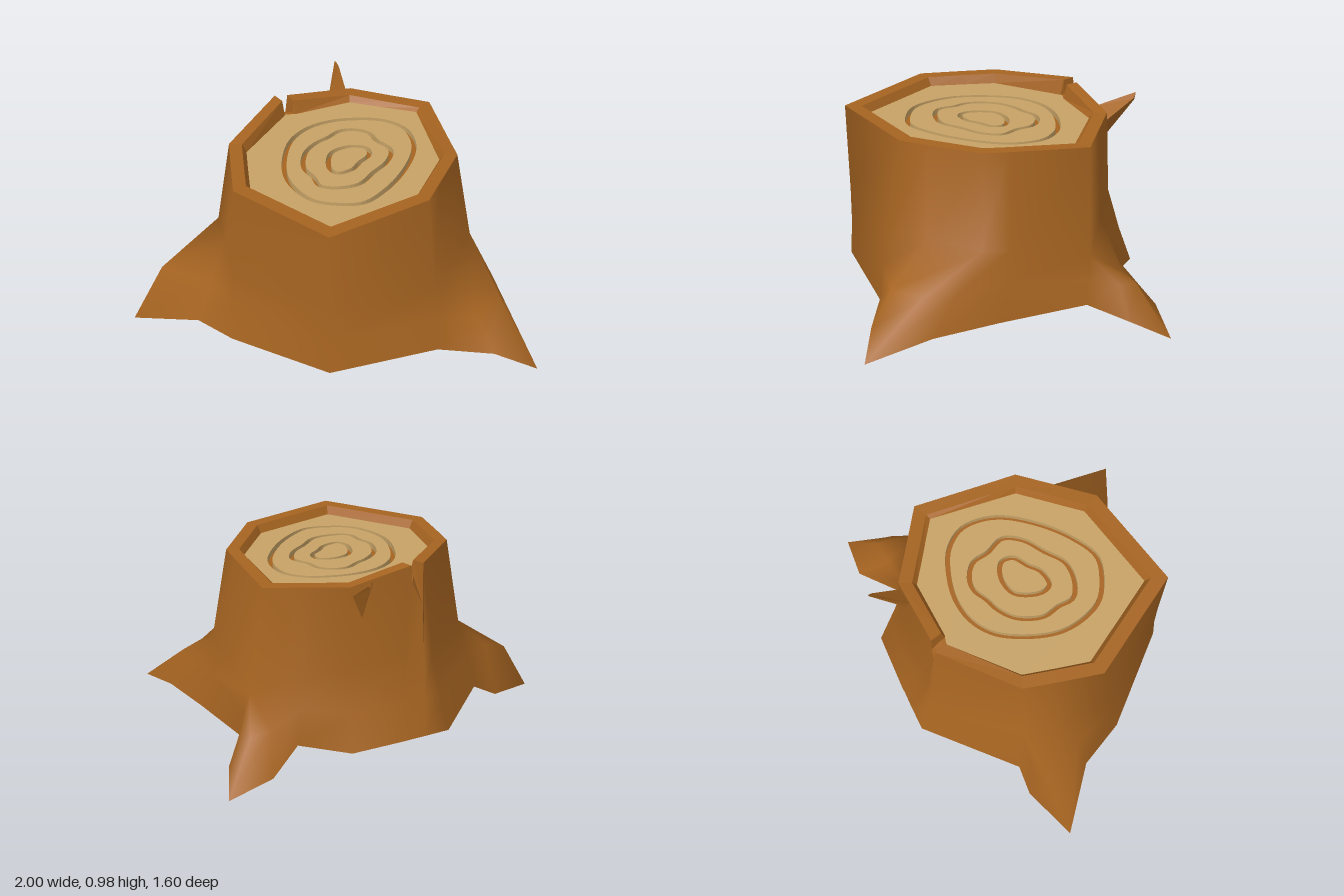
import * as THREE from 'three';
import { mergeVertices } from 'three/addons/utils/BufferGeometryUtils.js';

const DISC_Y = 0.875;
const GROOVE = 0.03;
const CENTRE = [0.02, 0.09];

// Cross-sections of the bark, counter-clockwise from the front point.
// Repeated points let the three roots taper into single corners.
const GROUND = [
  [0.02, 0.12, 0.8], [0.52, 0.12, 0.59], [0.79, 0.115, 0.595], [1, 0.04, 0.6], [0.87, 0.11, 0.3], [0.72, 0.12, 0],
  [0.52, 0.12, -0.4], [0.6, 0.08, -0.6], [0.61, 0, -0.8], [0.4, 0.07, -0.73], [0.27, 0.12, -0.5],
  [0.02, 0.12, -0.61], [-0.25, 0.12, -0.5], [-0.28, 0.12, -0.485], [-0.35, 0.12, -0.455], [-0.47, 0.12, -0.4],
  [-0.68, 0.12, 0.09], [-0.8, 0.05, 0.14], [-1, 0.01, 0.34], [-0.66, 0.09, 0.43], [-0.47, 0.12, 0.59],
];
const FLARE = [
  [0.02, 0.3, 0.79], [0.51, 0.3, 0.57], [0.7, 0.27, 0.51], [0.8, 0.28, 0.35], [0.77, 0.28, 0.2], [0.66, 0.3, -0.03],
  [0.51, 0.25, -0.4], [0.54, 0.24, -0.55], [0.5, 0.235, -0.63], [0.4, 0.24, -0.57], [0.26, 0.3, -0.49],
  [0.02, 0.29, -0.55], [-0.25, 0.3, -0.44], [-0.28, 0.3, -0.425], [-0.35, 0.3, -0.4], [-0.43, 0.3, -0.37],
  [-0.64, 0.3, 0.09], [-0.74, 0.33, 0.15], [-0.86, 0.27, 0.25], [-0.6, 0.3, 0.38], [-0.47, 0.3, 0.54],
];
const WAIST = [
  [0.02, 0.47, 0.79], [0.49, 0.46, 0.54], [0.56, 0.46, 0.36], [0.65, 0.45, 0.09], [0.65, 0.45, 0.09], [0.61, 0.44, -0.04],
  [0.49, 0.365, -0.41], [0.49, 0.365, -0.41], [0.49, 0.365, -0.41], [0.49, 0.365, -0.41], [0.25, 0.45, -0.455],
  [0.02, 0.5, -0.49], [-0.25, 0.5, -0.385], [-0.28, 0.5, -0.375], [-0.35, 0.5, -0.35], [-0.39, 0.5, -0.33],
  [-0.59, 0.48, 0.1], [-0.59, 0.48, 0.1], [-0.59, 0.48, 0.1], [-0.536, 0.47, 0.27], [-0.46, 0.48, 0.51],
];
const RIM = [
  [0.02, 0.915, 0.8], [0.45, 0.915, 0.48], [0.49, 0.913, 0.35], [0.57, 0.91, 0.09], [0.57, 0.91, 0.09], [0.533, 0.904, -0.03],
  [0.42, 0.89, -0.4], [0.42, 0.89, -0.4], [0.42, 0.89, -0.4], [0.42, 0.89, -0.4], [0.22, 0.897, -0.437],
  [0.02, 0.905, -0.475], [-0.285, 0.945, -0.32], [-0.295, 0.85, -0.32], [-0.345, 0.74, -0.31], [-0.345, 0.95, -0.302],
  [-0.52, 0.92, 0.1], [-0.52, 0.92, 0.1], [-0.52, 0.92, 0.1], [-0.49, 0.918, 0.27], [-0.45, 0.915, 0.48],
];

// Growth ring outlines as x, z
const GROWTH = [
  [[0.09, -0.24], [0.2, -0.235], [0.3, -0.18], [0.35, -0.08], [0.36, 0.03], [0.32, 0.2], [0.25, 0.35], [0.15, 0.47],
    [0.03, 0.49], [-0.08, 0.47], [-0.17, 0.39], [-0.23, 0.28], [-0.25, 0.12], [-0.23, -0.03], [-0.16, -0.14], [-0.05, -0.21]],
  [[0.05, -0.14], [0.13, -0.12], [0.18, -0.05], [0.25, 0.02], [0.24, 0.12], [0.18, 0.22], [0.12, 0.32], [0.02, 0.36],
    [-0.06, 0.35], [-0.1, 0.28], [-0.15, 0.21], [-0.155, 0.08], [-0.11, -0.01], [-0.06, -0.06], [-0.01, -0.12]],
  [[0.05, 0.01], [0.13, 0.015], [0.15, 0.07], [0.11, 0.14], [0.08, 0.2], [0.01, 0.24], [-0.03, 0.2], [-0.03, 0.07]],
];

// Joins closed cross-sections with quads
function loft(sections, smooth) {
  const n = sections[0].length;
  const index = [], crossed = [];
  for (let s = 0; s < sections.length - 1; s++) {
    for (let i = 0; i < n; i++) {
      const a = s * n + i, b = s * n + (i + 1) % n;
      index.push(a, b, b + n, a, b + n, a + n);
      crossed.push(a, b, a + n, b, b + n, a + n);
    }
  }
  let g = new THREE.BufferGeometry();
  g.setAttribute('position', new THREE.Float32BufferAttribute(sections.flat(2), 3));
  if (smooth) {
    // Average over both diagonals of each quad for even shading
    g.setIndex([...index, ...crossed]);
    g = mergeVertices(g);
    g.computeVertexNormals();
    g.setIndex(Array.from(g.index.array.slice(0, index.length)));
  } else {
    g.setIndex(index);
    g = g.toNonIndexed();
    g.computeVertexNormals();
  }
  return g;
}

// Shrinks a section towards the trunk centre, with heights set by a rule
const inset = (section, k, height) => section.map(([x, y, z]) =>
  [CENTRE[0] + (x - CENTRE[0]) * k, height(y), CENTRE[1] + (z - CENTRE[1]) * k]);

const flat = (section) => section.map(([x, , z]) => new THREE.Vector2(x, -z));

export function createModel() {
  const bark = new THREE.MeshStandardMaterial({ color: 0xa66421, side: THREE.DoubleSide });
  bark.name = 'bark brown';
  const wood = new THREE.MeshStandardMaterial({ color: 0xc6a266, side: THREE.DoubleSide });
  wood.name = 'cut wood tan';

  const model = new THREE.Group();
  model.name = 'treeStump';
  const add = (name, geometry, material) => {
    const mesh = new THREE.Mesh(geometry, material);
    mesh.name = name;
    model.add(mesh);
  };

  // Trunk with flared roots, open underneath
  add('trunkAndRoots', loft([GROUND, FLARE, WAIST, RIM], true), bark);

  // Flat rim with a split at the back, and the short wall down to the cut
  const inner = inset(RIM, 0.885, (y) => Math.max(y, DISC_Y));
  const floor = inset(RIM, 0.847, () => DISC_Y);
  add('barkRim', loft([RIM, inner], false), bark);
  add('rimInnerWall', loft([inner, floor], false), bark);

  // Growth rings: brown floors of narrow grooves in the cut
  const borders = [floor];
  GROWTH.forEach((points, r) => {
    const curve = new THREE.CatmullRomCurve3(points.map(([x, z]) => new THREE.Vector3(x, DISC_Y - GROOVE, z)), true);
    const line = curve.getSpacedPoints(72).slice(0, -1);
    const edge = (offset) => line.map((p, i) => {
      const t = curve.getTangentAt(i / 72);
      return [p.x + t.z * offset, p.y, p.z - t.x * offset];
    });
    const inside = edge(-0.012), outside = edge(0.012);
    borders.push(outside, inside);
    add('growthRing' + (r + 1), loft([inside, outside], false), bark);
  });

  // Cut surface: bands of wood between the grooves
  for (let i = 0; i < borders.length; i += 2) {
    const shape = new THREE.Shape(flat(borders[i]));
    if (borders[i + 1]) shape.holes.push(new THREE.Path(flat(borders[i + 1])));
    const band = new THREE.ExtrudeGeometry(shape, { depth: GROOVE, bevelEnabled: false });
    add('cutWood' + (i / 2 + 1), band.rotateX(-Math.PI / 2).translate(0, DISC_Y - GROOVE, 0), wood);
  }

  // Broken twig on the back
  add('twig', loft([
    [[0.01, 0.85, -0.46], [-0.04, 0.74, -0.45], [-0.085, 0.9, -0.42]],
    [[-0.05, 0.955, -0.6], [-0.062, 0.945, -0.605], [-0.072, 0.98, -0.61]],
    [[-0.065, 0.975, -0.612], [-0.065, 0.975, -0.612], [-0.065, 0.975, -0.612]],
  ], false), bark);

  return model;
}
